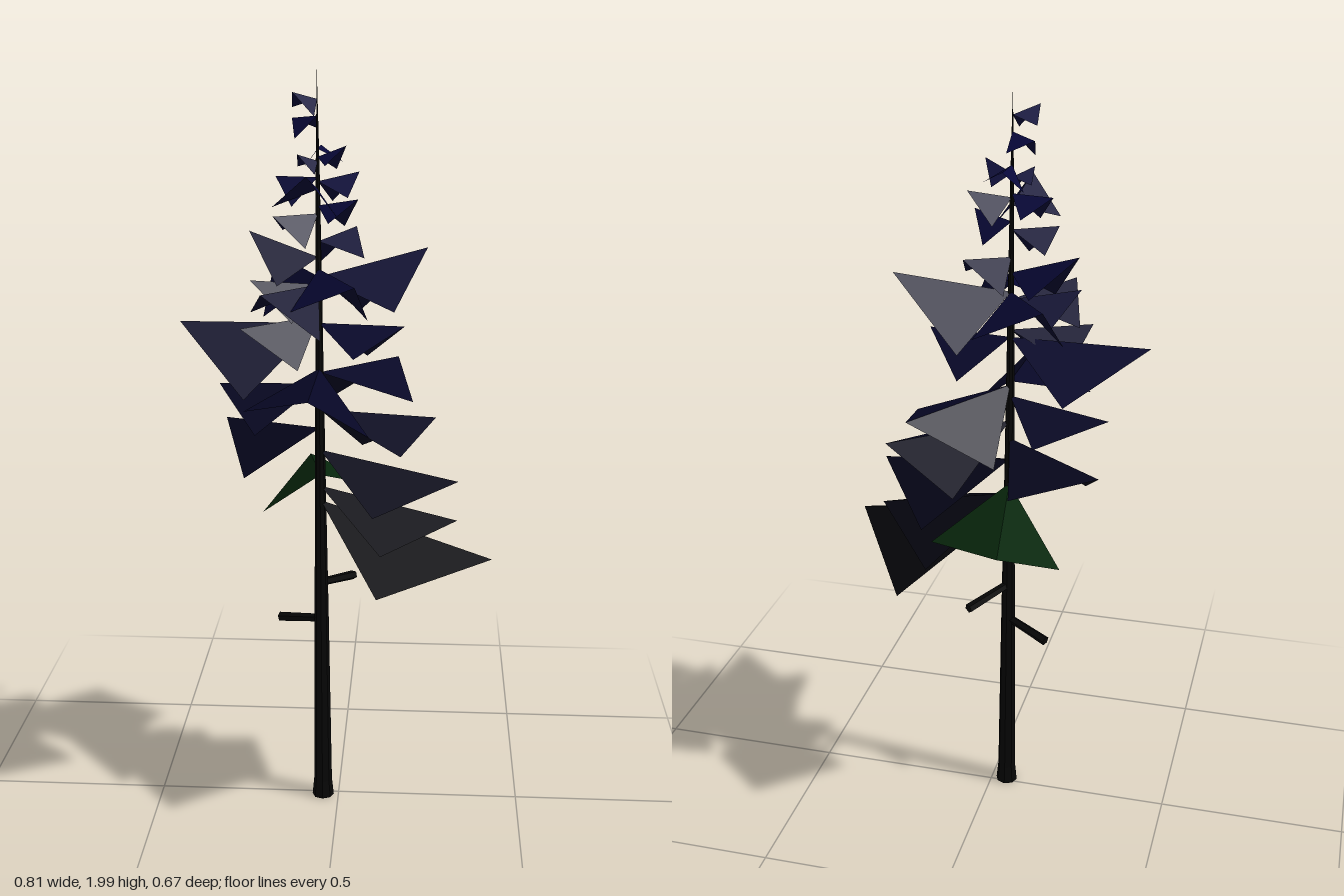
import * as THREE from 'three';

const rad = THREE.MathUtils.degToRad;

// The trunk leans slightly; this gives its centre at a height
const LEAN_X = -0.0055, LEAN_Z = -0.008;
const trunkPoint = (y) => [-0.043 + LEAN_X * y, y, 0.013 + LEAN_Z * y];

// Fronds: tip x, tip y, tip z, height of the root on the trunk
const FRONDS = [
  [0.405, 0.77, 0.13, 0.88], [0.315, 0.84, 0.035, 0.92], [0.315, 0.96, 0.07, 1.02],
  [0.255, 1.08, -0.11, 1.13], [0.15, 1.21, -0.26, 1.23], [0.17, 1.36, 0.03, 1.36],
  [0.225, 1.54, -0.10, 1.48], [-0.315, 1.06, -0.15, 1.08], [-0.32, 1.18, -0.06, 1.20],
  [-0.41, 1.36, 0.0, 1.36], [-0.055, 1.24, 0.33, 1.24], [-0.24, 1.37, 0.125, 1.38],
  [-0.22, 1.48, 0.06, 1.46], [-0.18, 1.47, 0.195, 1.46], [-0.18, 1.50, -0.21, 1.48],
  [-0.23, 1.59, -0.03, 1.53], [0.05, 1.49, 0.195, 1.50], [-0.16, 1.64, 0.06, 1.64],
  [0.04, 1.59, -0.12, 1.57], [0.05, 1.68, 0.03, 1.66], [-0.07, 1.75, 0.15, 1.70],
  [-0.16, 1.73, -0.02, 1.73], [0.05, 1.74, -0.04, 1.72], [-0.05, 1.80, -0.09, 1.80],
  [0.02, 1.81, 0.02, 1.78], [-0.10, 1.79, 0.04, 1.77], [-0.12, 1.87, -0.05, 1.88],
  [-0.11, 1.94, 0.05, 1.92],
];
const GREEN_FRONDS = [[-0.10, 0.90, -0.335, 0.95]];

// A square sheet creased from root to tip; higher sheets fold more sharply
function frondGeometry([x, y, z, rootY]) {
  const root = trunkPoint(rootY), tip = [x, y, z];
  const dx = x - root[0], dz = z - root[2], length = Math.hypot(dx, dz);
  const fold = THREE.MathUtils.clamp((rootY - 1.2) / 0.3, 0, 1);
  const crown = THREE.MathUtils.clamp((rootY - 1.55) / 0.1, 0, 1);
  const reach = (0.58 + 0.08 * fold + 0.12 * crown) * length;
  const corner = (side) => {
    const droop = rad(32 + 10 * fold - side * 11);
    const across = side * reach * Math.cos(droop) / length;
    return [root[0] + dx * 0.5 - dz * across,
      (y + rootY) / 2 - reach * Math.sin(droop),
      root[2] + dz * 0.5 + dx * across];
  };
  const geometry = new THREE.BufferGeometry();
  geometry.setAttribute('position', new THREE.Float32BufferAttribute(
    [root, corner(1), tip, root, tip, corner(-1)].flat(), 3));
  geometry.computeVertexNormals();
  return geometry;
}

export function createModel() {
  const group = new THREE.Group();
  const add = (name, geometry, material) => {
    const mesh = new THREE.Mesh(geometry, material);
    mesh.name = name;
    group.add(mesh);
    return mesh;
  };
  const bark = new THREE.MeshStandardMaterial({ color: 0x060606, flatShading: true });

  // Tapered trunk with a flared foot
  const profile = [[0, 0], [0.03, 0], [0.025, 0.05], [0.02, 0.5], [0.014, 0.95],
    [0.009, 1.4], [0.005, 1.75], [0, 1.99]].map(([r, y]) => new THREE.Vector2(r, y));
  const trunk = add('trunk', new THREE.LatheGeometry(profile, 8), bark);
  trunk.position.set(...trunkPoint(0));
  trunk.rotation.set(LEAN_Z, 0, -LEAN_X);

  // Bare broken branches
  const up = new THREE.Vector3(0, 1, 0);
  for (const [x, y, z, rootY] of [[-0.165, 0.515, -0.05, 0.54], [0.035, 0.62, -0.11, 0.645]]) {
    const root = new THREE.Vector3(...trunkPoint(rootY));
    const span = new THREE.Vector3(x, y, z).sub(root);
    const stub = add('bareBranch', new THREE.CylinderGeometry(0.013, 0.011, span.length(), 5), bark);
    stub.position.copy(root).addScaledVector(span, 0.5);
    stub.quaternion.setFromUnitVectors(up, span.clone().normalize());
  }

  // Fronds shade from near black below to deep blue at the top
  const low = new THREE.Color(0x050506), high = new THREE.Color(0x08083c);
  const foliage = (color) => new THREE.MeshStandardMaterial(
    { color, flatShading: true, side: THREE.DoubleSide });
  for (const frond of FRONDS) {
    const t = THREE.MathUtils.clamp((frond[3] - 0.85) / 1, 0, 1);
    add('frond', frondGeometry(frond), foliage(low.clone().lerp(high, t)));
  }
  const green = foliage(0x07260c);
  for (const frond of GREEN_FRONDS) add('greenFrond', frondGeometry(frond), green);
  return group;
}
